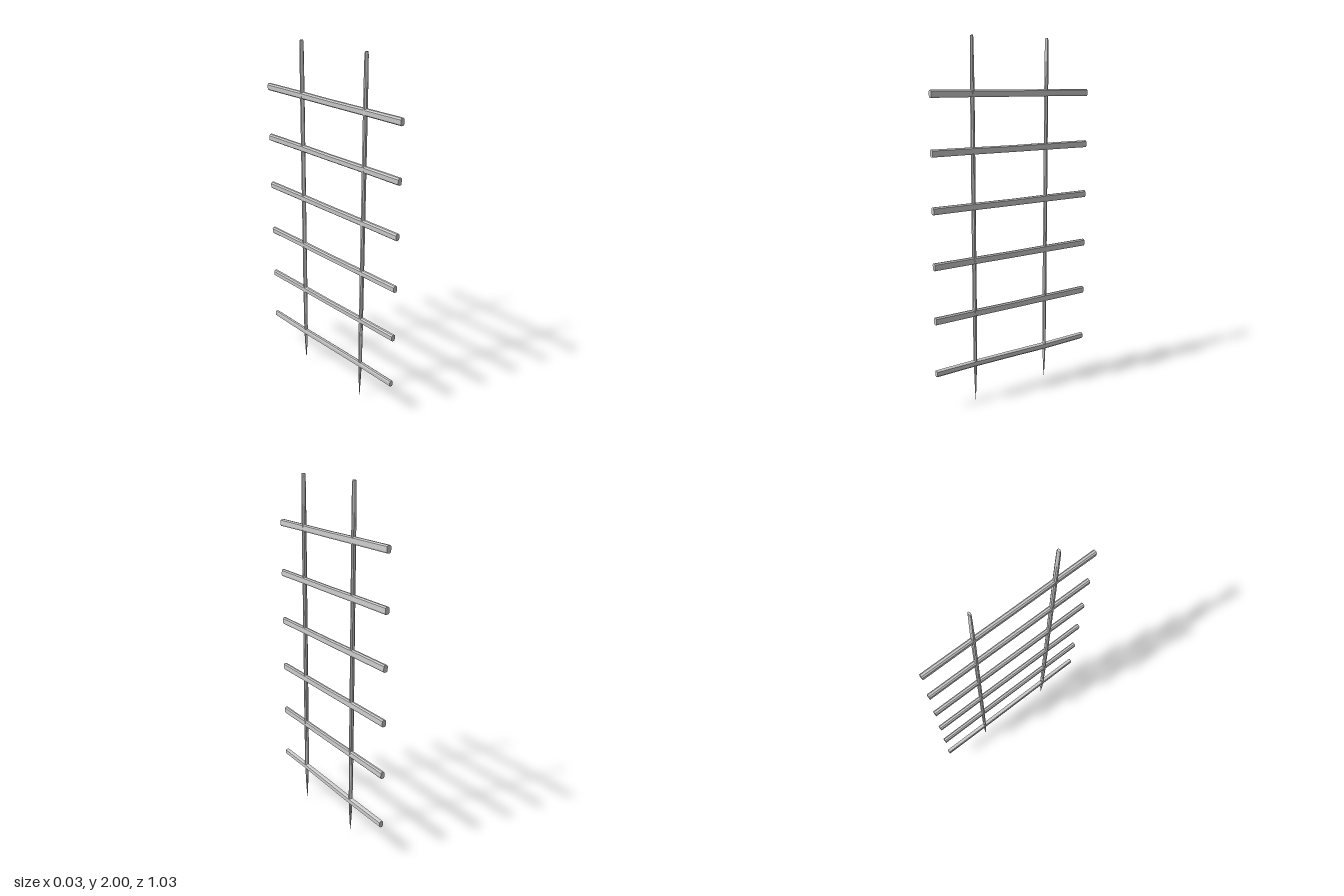
import * as THREE from 'three';

const material = new THREE.MeshStandardMaterial({ color: 0xcccccc, flatShading: true });

// Rough split-wood outlines, counter-clockwise
const slatOutline = [
  [0.013, -0.012], [0.012, 0.013], [0.005, 0.02], [-0.006, 0.019],
  [-0.013, 0.011], [-0.012, -0.014], [-0.005, -0.02], [0.009, -0.02],
];
const postOutline = [
  [0.0125, -0.004], [0.0125, 0.005], [0.006, 0.0105], [-0.006, 0.0105],
  [-0.0125, 0.005], [-0.0125, -0.005], [-0.005, -0.0105], [0.006, -0.0105],
];

// Capped stick along z; each station is [z, scaleX, scaleY, offsetY]
function stick(outline, stations) {
  const n = outline.length;
  const positions = [];
  const index = [];
  stations.forEach(([z, sx, sy, oy = 0]) => {
    outline.forEach(([x, y]) => positions.push(x * sx, y * sy + oy, z));
  });
  for (let i = 0; i < stations.length - 1; i++) {
    for (let j = 0; j < n; j++) {
      const k = (j + 1) % n;
      const a = i * n + j, b = i * n + k, c = b + n, d = a + n;
      index.push(a, b, c, a, c, d);
    }
  }
  const last = (stations.length - 1) * n;
  for (let j = 1; j < n - 1; j++) {
    index.push(0, j + 1, j, last, last + j, last + j + 1);
  }
  const geometry = new THREE.BufferGeometry();
  geometry.setAttribute('position', new THREE.Float32BufferAttribute(positions, 3));
  geometry.setIndex(index);
  const flat = geometry.toNonIndexed();
  flat.computeVertexNormals();
  return flat;
}

function addMesh(group, geometry, name) {
  const mesh = new THREE.Mesh(geometry, material);
  mesh.name = name;
  group.add(mesh);
  return mesh;
}

export function createModel() {
  const group = new THREE.Group();
  group.name = 'trellis';

  // Two upright posts: sharpened foot, slimmer top
  const posts = [
    { name: 'frontPost', z: 0.265, tip: 0, thickness: 1 },
    { name: 'backPost', z: -0.22, tip: 0.025, thickness: 0.9 },
  ];
  for (const { name, z, tip, thickness: t } of posts) {
    const geometry = stick(postOutline, [
      [tip, 0.08, 0.08], [0.1, 0.5, 0.45 * t], [0.22, 0.92, 0.7 * t],
      [0.5, 1, 0.95 * t], [1.1, 0.97, t], [1.72, 1, t],
      [1.85, 1, 0.85 * t], [1.985, 0.95, 0.65 * t], [2, 0.75, 0.6 * t],
    ]);
    geometry.rotateX(-Math.PI / 2);
    addMesh(group, geometry, name).position.z = z;
  }

  // Five cross slats with a slight dip in the middle of the top edge
  const slat = stick(slatOutline, [
    [-0.513, 1, 1], [-0.22, 0.97, 0.98], [0, 1, 0.93, -0.001],
    [0.265, 0.96, 0.96], [0.513, 1, 1],
  ]);
  for (let i = 1; i <= 5; i++) {
    addMesh(group, slat, 'slat' + (i + 1)).position.y = 0.216 + i * 0.298;
  }

  // Lowest slat: rounder and gently bowed
  const bottomSlat = stick(slatOutline.map(([x, y]) => [-x, -y]), [
    [-0.513, 0.95, 0.88], [-0.22, 1, 0.9, -0.003], [0, 1, 0.88],
    [0.265, 1, 0.85, 0.002], [0.513, 0.95, 0.88],
  ]);
  addMesh(group, bottomSlat, 'slat1').position.y = 0.215;

  return group;
}
